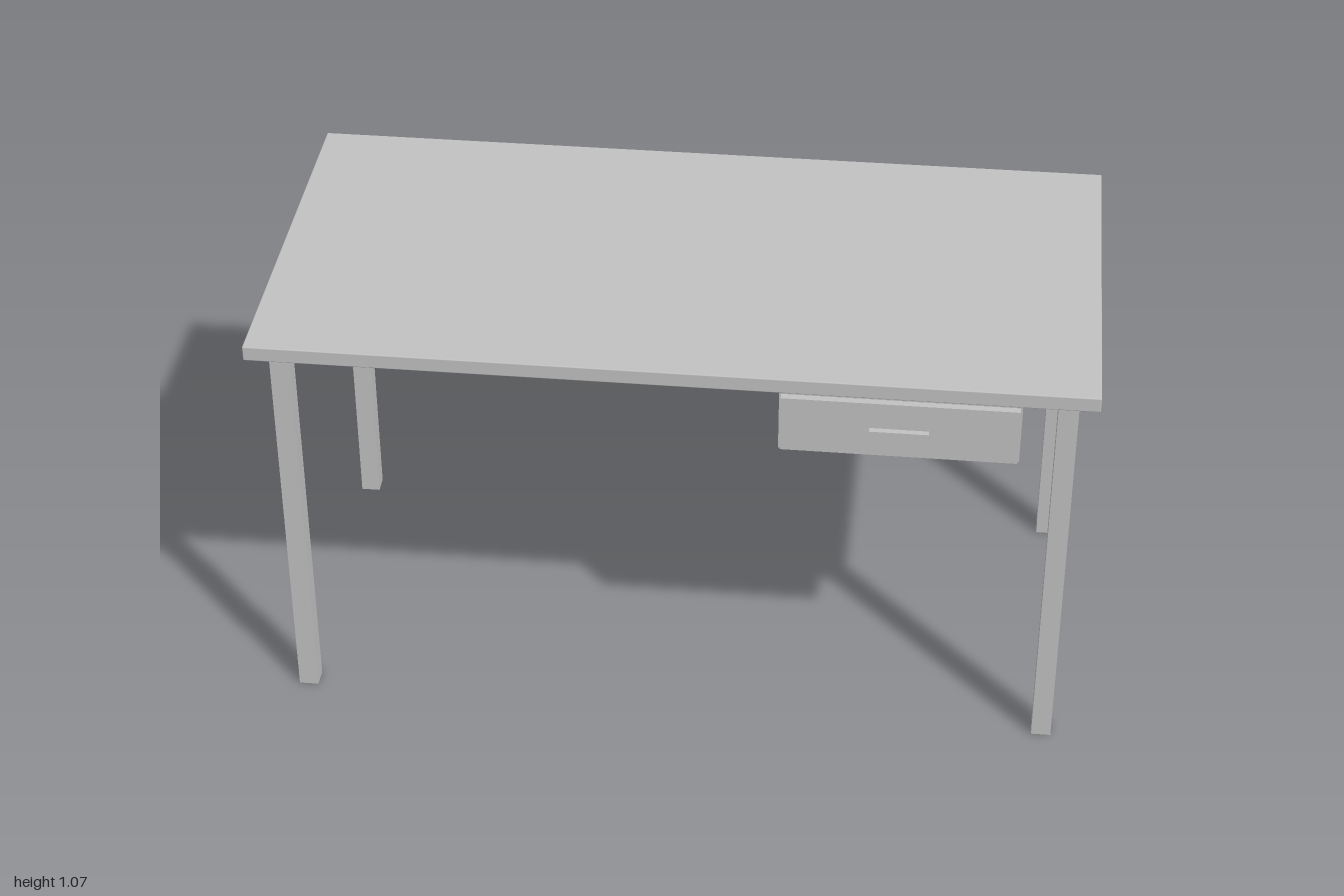
import * as THREE from 'three';
import { RoundedBoxGeometry } from 'three/addons/geometries/RoundedBoxGeometry.js';

export function createModel() {
  const desk = new THREE.Group();
  desk.name = 'desk';
  const grey = new THREE.MeshStandardMaterial({ color: 0xc0c0c0, side: THREE.DoubleSide });
  grey.name = 'light grey';

  const add = (name, geometry, x, y, z) => {
    const mesh = new THREE.Mesh(geometry, grey);
    mesh.name = name;
    mesh.position.set(x, y, z);
    desk.add(mesh);
    return mesh;
  };

  // Box given by its lower and upper limits on each axis
  const addBox = (name, [x0, x1], [y0, y1], [z0, z1]) =>
    add(name, new THREE.BoxGeometry(x1 - x0, y1 - y0, z1 - z0),
      (x0 + x1) / 2, (y0 + y1) / 2, (z0 + z1) / 2);

  const topUnder = 1.033, topHeight = 1.071;
  const legX = 0.93, legZ = 0.416, leg = 0.048;
  const innerX = legX - leg / 2, innerZ = legZ - leg / 2;
  const outerX = legX + leg / 2, outerZ = legZ + leg / 2;

  // Table top with slightly eased edges
  add('tableTop', new RoundedBoxGeometry(2, topHeight - topUnder, 1, 2, 0.003),
    0, (topUnder + topHeight) / 2, 0);

  // Square tube legs, open at the foot
  const legGeometry = new THREE.BoxGeometry(leg, topUnder, leg);
  const faces = Array.from(legGeometry.index.array);
  faces.splice(18, 6);
  legGeometry.setIndex(faces);
  legGeometry.clearGroups();
  for (const sx of [-1, 1]) {
    for (const sz of [-1, 1]) {
      add((sz > 0 ? 'front' : 'back') + (sx > 0 ? 'Left' : 'Right') + 'Leg',
        legGeometry, sx * legX, topUnder / 2, sz * legZ);
    }
  }

  // Rails along the back and both sides, flush with the legs
  addBox('backRail', [-innerX, innerX], [0.947, topUnder], [-outerZ, -innerZ]);
  addBox('leftRail', [innerX, outerX], [0.959, topUnder], [-innerZ, innerZ]);
  addBox('rightRail', [-outerX, -innerX], [0.959, topUnder], [-innerZ, innerZ]);

  // Hanging drawer unit
  addBox('drawerHousing', [0.258, 0.824], [0.846, topUnder], [-0.328, 0.456]);
  addBox('drawerFront', [0.263, 0.819], [0.855, 1.001], [0.456, 0.474]);
  addBox('drawerHandle', [0.471, 0.611], [0.915, 0.932], [0.474, 0.489]);

  return desk;
}
